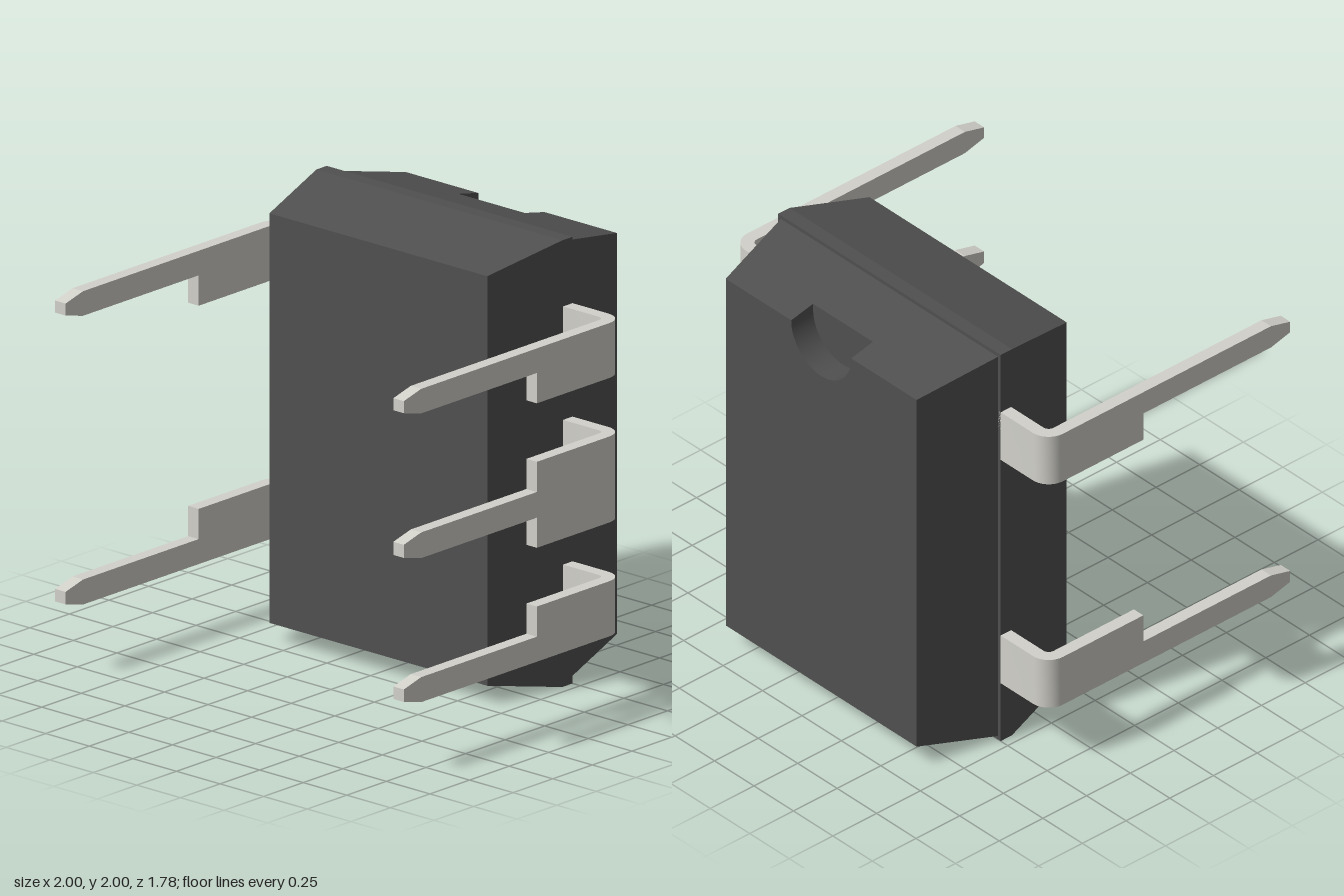
import * as THREE from 'three';
import { toCreasedNormals } from 'three/addons/utils/BufferGeometryUtils.js';

const bodyMaterial = new THREE.MeshStandardMaterial({ color: 0x505050 });
const leadMaterial = new THREE.MeshStandardMaterial({ color: 0xd2d1ca });

const MID_Y = 1;

function addMesh(parent, name, geometry, material) {
  const mesh = new THREE.Mesh(geometry, material);
  mesh.name = name;
  parent.add(mesh);
}

// Box between two z planes with its own half width and half height at each end
function taperedBlock(back, front) {
  const geometry = new THREE.BoxGeometry(2, 2, 2);
  const p = geometry.attributes.position;
  for (let i = 0; i < p.count; i++) {
    const end = p.getZ(i) > 0 ? front : back;
    p.setXYZ(i, p.getX(i) * end.x, MID_Y + p.getY(i) * end.y, end.z);
  }
  geometry.computeVertexNormals();
  return geometry;
}

// Rearmost slice of the body, with a half-round notch in its top edge
function notchedSlab(back, front, radius) {
  const shape = new THREE.Shape();
  shape.moveTo(-back.x, -back.y);
  shape.lineTo(back.x, -back.y);
  shape.lineTo(back.x, back.y);
  shape.lineTo(radius, back.y);
  shape.absarc(0, back.y, radius, 0, -Math.PI, true);
  shape.lineTo(-back.x, back.y);
  const geometry = new THREE.ExtrudeGeometry(shape, {
    depth: front.z - back.z, bevelEnabled: false, curveSegments: 20,
  });
  // Only the outline widens towards the front; the notch stays straight
  const p = geometry.attributes.position;
  for (let i = 0; i < p.count; i++) {
    let x = p.getX(i), y = p.getY(i);
    if (p.getZ(i) > 0.01) {
      if (Math.abs(Math.abs(x) - back.x) < 1e-4) x = Math.sign(x) * front.x;
      if (Math.abs(Math.abs(y) - back.y) < 1e-4) y = Math.sign(y) * front.y;
    }
    p.setXYZ(i, x, MID_Y + y, back.z + p.getZ(i));
  }
  return toCreasedNormals(geometry, 0.5);
}

// Wide part of a lead: out of the body, round the bend and forward
function shoulderGeometry(side, low, high) {
  const cx = 0.91, cz = -0.41, outer = 0.09, inner = 0.03, steps = 10;
  const points = [[0.66, cz - outer]];
  const arc = (r, t) => [cx + r * Math.sin(t), cz - r * Math.cos(t)];
  for (let i = 0; i <= steps; i++) points.push(arc(outer, (i / steps) * Math.PI / 2));
  points.push([cx + outer, 0.05], [cx + inner, 0.05]);
  for (let i = steps; i >= 0; i--) points.push(arc(inner, (i / steps) * Math.PI / 2));
  points.push([0.66, cz - inner]);
  const shape = new THREE.Shape(points.map(([x, z]) => new THREE.Vector2(side * x, -z)));
  const geometry = new THREE.ExtrudeGeometry(shape, { depth: high - low, bevelEnabled: false });
  geometry.rotateX(-Math.PI / 2).translate(0, low, 0);
  return toCreasedNormals(geometry, 0.5);
}

// Narrow part of a lead with a tapered tip
function prongGeometry(side, low, high) {
  const inset = 0.028;
  const shape = new THREE.Shape([
    [0.05, low], [0.78, low], [0.89, low + inset],
    [0.89, high - inset], [0.78, high], [0.05, high],
  ].map(([z, y]) => new THREE.Vector2(z, y)));
  const geometry = new THREE.ExtrudeGeometry(shape, { depth: 0.06, bevelEnabled: false });
  return geometry.rotateY(-Math.PI / 2).translate(side > 0 ? 1 : -0.94, 0, 0);
}

export function createModel() {
  const model = new THREE.Group();
  model.name = 'chipPackage';

  // Moulded body, from front to back
  const body = new THREE.Group();
  body.name = 'body';
  model.add(body);
  const face = { x: 0.625, y: 0.917, z: -0.05 };
  const rimFront = { x: 0.705, y: 1, z: -0.435 };
  const rimBack = { x: 0.705, y: 1, z: -0.5 };
  const step = { x: 0.688, y: 0.982, z: -0.5 };
  const notchFloor = { x: 0.632, y: 0.925, z: -0.765 };
  const rear = { x: 0.605, y: 0.898, z: -0.89 };
  addMesh(body, 'frontHalf', taperedBlock(rimFront, face), bodyMaterial);
  addMesh(body, 'rim', taperedBlock(rimBack, rimFront), bodyMaterial);
  addMesh(body, 'rearHalf', taperedBlock(notchFloor, step), bodyMaterial);
  addMesh(body, 'notchedRear', notchedSlab(rear, notchFloor, 0.19), bodyMaterial);

  // Leads: heights of the wide shoulder and the narrow prong
  const leads = [
    { name: 'upperLead', sides: [1, -1], shoulder: [1.457, 1.703], prong: [1.593, 1.703] },
    { name: 'middleLead', sides: [1], shoulder: [0.81, 1.195], prong: [0.945, 1.06] },
    { name: 'lowerLead', sides: [1, -1], shoulder: [0.3, 0.547], prong: [0.3, 0.412] },
  ];
  for (const { name, sides, shoulder, prong } of leads) {
    for (const side of sides) {
      const lead = new THREE.Group();
      lead.name = name + (side > 0 ? 'Left' : 'Right');
      addMesh(lead, 'shoulder', shoulderGeometry(side, ...shoulder), leadMaterial);
      addMesh(lead, 'prong', prongGeometry(side, ...prong), leadMaterial);
      model.add(lead);
    }
  }
  return model;
}
